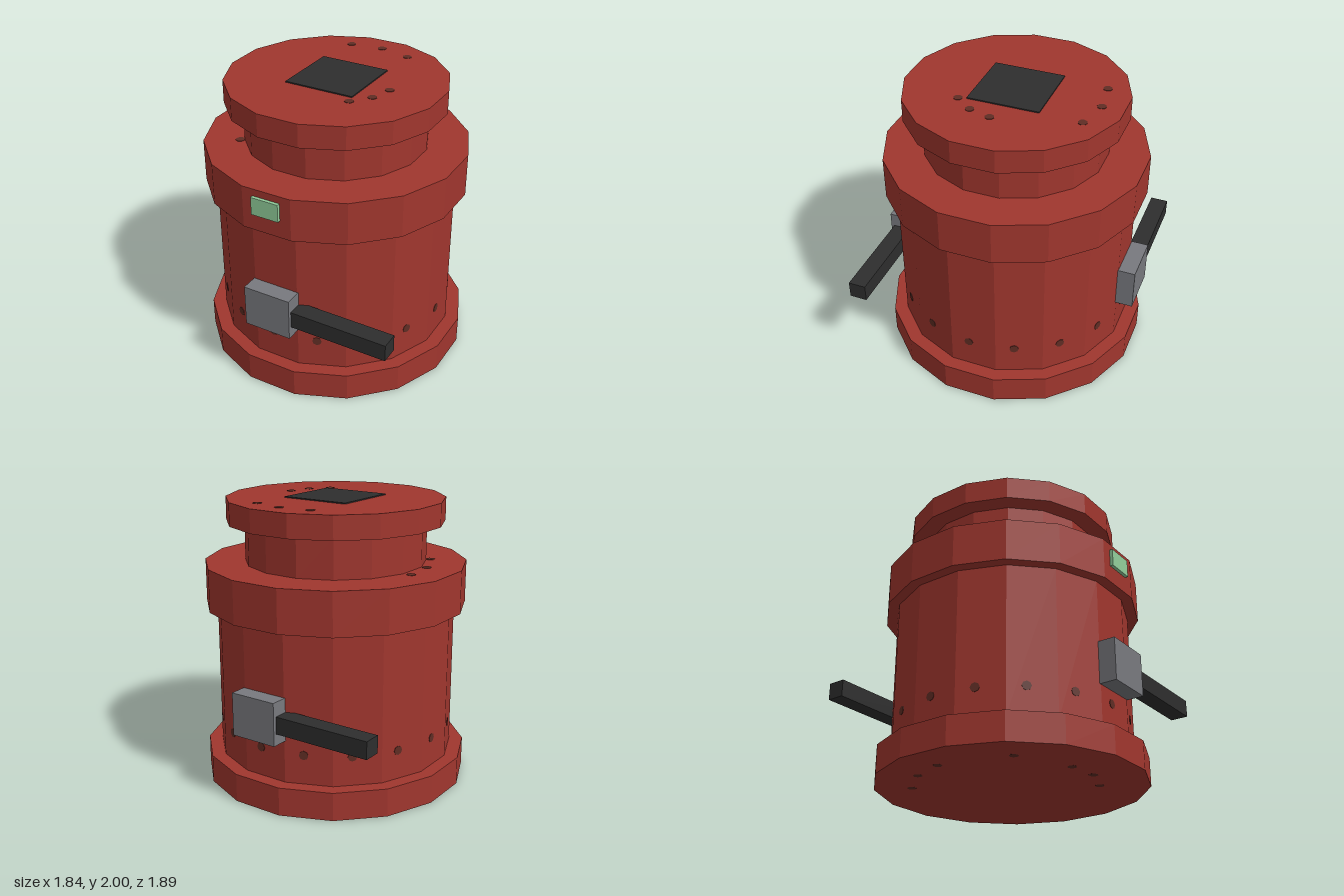
import * as THREE from 'three';

const SIDES = 16;
const mat = (name, color) => {
  const m = new THREE.MeshStandardMaterial({ color, flatShading: true });
  m.name = name;
  return m;
};

export function createModel() {
  const group = new THREE.Group();
  const red = mat('red paint', 0xa0362e);
  const black = mat('black', 0x2e2e2e);
  const grey = mat('grey metal', 0x78797e);
  const green = mat('green label', 0x92cd9b);
  const brown = mat('dark rivet', 0x5f2d24);

  const add = (parent, name, geometry, material, x = 0, y = 0, z = 0) => {
    const mesh = new THREE.Mesh(geometry, material);
    mesh.name = name;
    mesh.position.set(x, y, z);
    parent.add(mesh);
    return mesh;
  };

  // Stacked sixteen-sided drums: name, distance to flats, bottom, top
  const drums = [
    ['base', 0.92, 0, 0.2],
    ['body', 0.825, 0.2, 1.25],
    ['collar', 0.9, 1.25, 1.55],
    ['neck', 0.623, 1.55, 1.83],
    ['cap', 0.747, 1.83, 1.992],
  ];
  for (const [name, flat, bottom, top] of drums) {
    const r = flat / Math.cos(Math.PI / SIDES);
    const drum = new THREE.CylinderGeometry(r, r, top - bottom, SIDES, 1, false, Math.PI / SIDES);
    add(group, name, drum, red, 0, (bottom + top) / 2, 0);
  }

  // Hatch on the cap and label on the collar
  add(group, 'topHatch', new THREE.BoxGeometry(0.5, 0.008, 0.5), black, 0, 1.996, 0);
  add(group, 'frontLabel', new THREE.BoxGeometry(0.2, 0.125, 0.04), green, 0, 1.4375, 0.903);

  // Hinge block and bar, repeated half a turn round
  for (const [name, turn] of [['frontHandle', 0], ['backHandle', Math.PI]]) {
    const handle = new THREE.Group();
    handle.name = name;
    handle.rotation.y = turn;
    add(handle, 'handleBlock', new THREE.BoxGeometry(0.345, 0.3, 0.145), grey, 0, 0.65, 0.8725);
    add(handle, 'handleBar', new THREE.BoxGeometry(0.74, 0.12, 0.125), black, 0.5, 0.64, 0.8575);
    group.add(handle);
  }

  // One rivet on each flat of the body
  const rivet = new THREE.CylinderGeometry(0.032, 0.032, 0.006, 8);
  for (let i = 0; i < SIDES; i++) {
    const spoke = new THREE.Group();
    spoke.name = 'bodyRivet';
    spoke.rotation.y = (i / SIDES) * Math.PI * 2;
    add(spoke, 'rivet', rivet, brown, -0.035, 0.405, 0.825).rotation.x = Math.PI / 2;
    group.add(spoke);
  }

  // Loose rivets on the level faces: height and x, z pairs
  const levels = [
    ['capRivet', 1.992, [[-0.2, -0.565], [0.03, -0.595], [0.255, -0.54], [0.405, 0.025], [0.36, 0.18], [0.26, 0.305]]],
    ['collarRivet', 1.55, [[-0.66, 0.13], [-0.55, 0.375], [-0.68, -0.11]]],
    ['baseRivet', 0.0025, [[0.3, 0.51], [0.076, 0.6], [-0.147, 0.58], [-0.54, 0.41], [-0.67, -0.09], [-0.584, -0.33], [-0.4, -0.545]]],
  ];
  for (const [name, y, points] of levels) {
    for (const [x, z] of points) add(group, name, rivet, brown, x, y, z);
  }

  return group;
}
